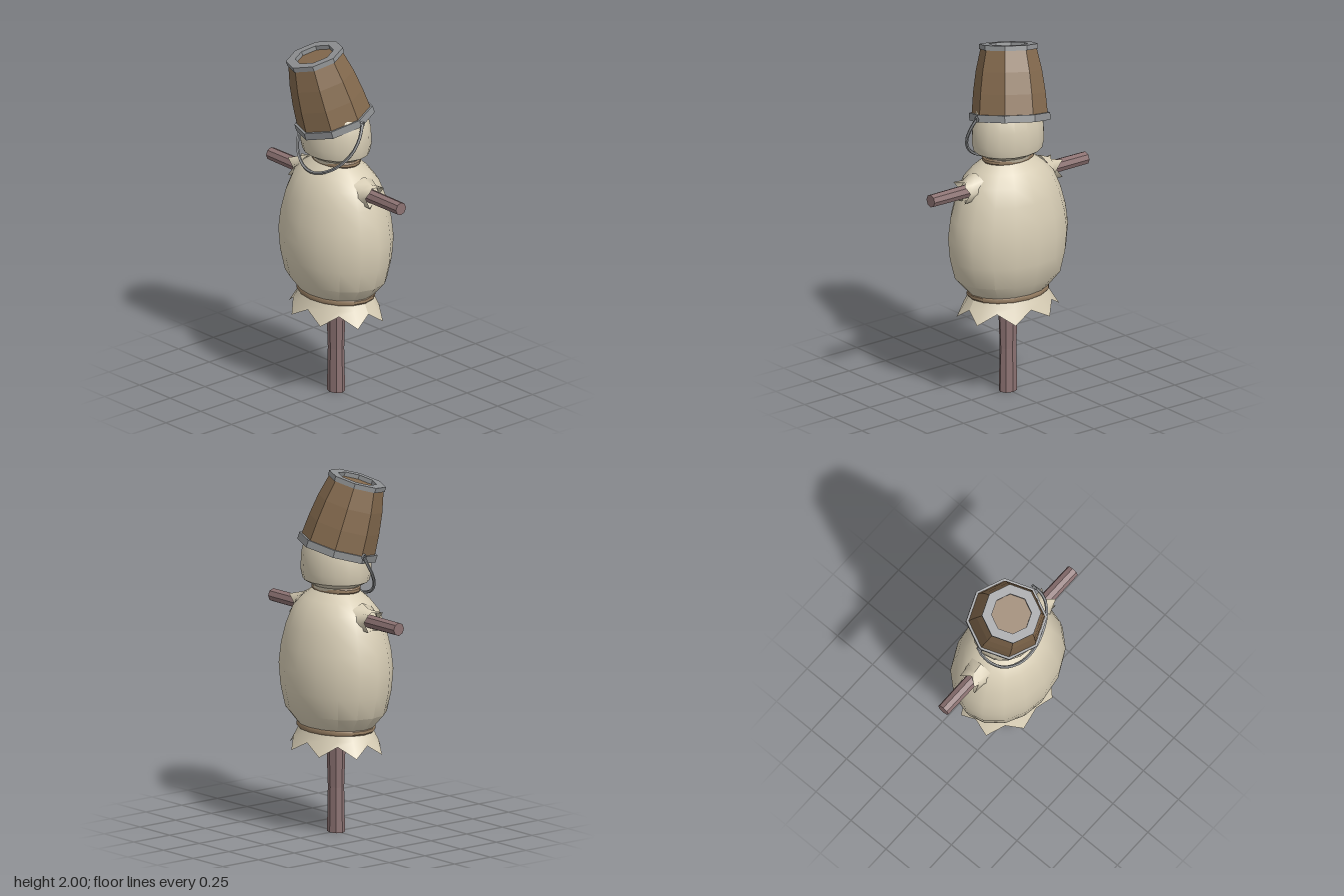
import * as THREE from 'three';
import { toCreasedNormals } from 'three/addons/utils/BufferGeometryUtils.js';

const mat = (color, extra = {}) => new THREE.MeshStandardMaterial({ color, ...extra });
const cloth = mat(0xd6ccb4);
const clothOpen = mat(0xd6ccb4, { side: THREE.DoubleSide });
const rope = mat(0x998064);
const wood = mat(0x8c7272, { flatShading: true });
const stave = mat(0x846a4e, { flatShading: true, side: THREE.DoubleSide });
const metal = mat(0x8f9193, { flatShading: true });

const lathe = (pts, sides) => new THREE.LatheGeometry(pts.map(([r, y]) => new THREE.Vector2(r, y)), sides);

function add(parent, name, geometry, material) {
  const mesh = new THREE.Mesh(geometry, material);
  mesh.name = name;
  parent.add(mesh);
  return mesh;
}

// Closed ring with a rectangular section
const ring = (rIn, rOut, y0, y1, sides) =>
  lathe([[rIn, y0], [rOut, y0], [rOut, y1], [rIn, y1], [rIn, y0]], sides);

// Oval sack volume, profile radii measured along z
const sack = (pts, xScale) => toCreasedNormals(lathe(pts, 16).scale(xScale, 1, 1), 0.6);

// Rope binding with a softly bevelled section
function binding(r, y, h, xScale) {
  const g = lathe([[r - 0.03, y - h], [r - 0.006, y - h], [r, y - h * 0.5], [r, y + h * 0.5],
    [r - 0.006, y + h], [r - 0.03, y + h]], 16);
  return toCreasedNormals(g.scale(xScale, 1, 1), 0.6);
}

// Torn cloth edge: the last row of a lathe is pulled back at every notch
function tornCloth(pts, sides, isNotch, notch) {
  const g = lathe(pts, sides);
  const p = g.attributes.position;
  const rows = pts.length;
  for (let i = 0; i <= sides; i++) {
    if (!isNotch(i)) continue;
    const a = (i / sides) * Math.PI * 2;
    p.setXYZ(i * rows + rows - 1, Math.sin(a) * notch[0], notch[1], Math.cos(a) * notch[0]);
  }
  return g;
}

function createBucket() {
  const bucket = new THREE.Group();
  bucket.name = 'bucket';
  add(bucket, 'staves', lathe([[0.207, 0.01], [0.197, 0.13], [0.18, 0.25], [0.15, 0.38]], 8), stave);
  add(bucket, 'bucketBase', new THREE.CircleGeometry(0.145, 8).rotateX(-Math.PI / 2).translate(0, 0.368, 0), stave);
  add(bucket, 'lowerHoop', ring(0.195, 0.22, -0.02, 0.02, 8), metal);
  add(bucket, 'upperHoop', ring(0.108, 0.16, 0.365, 0.392, 8), metal);
  bucket.position.set(0, 1.575, -0.012);
  bucket.quaternion.setFromUnitVectors(new THREE.Vector3(0, 1, 0),
    new THREE.Vector3(-0.09, 0.375, -0.062).normalize());
  return bucket;
}

export function createModel() {
  const model = new THREE.Group();
  model.name = 'scarecrow';

  // Post
  const post = lathe([[0, 0], [0.054, 0], [0.049, 0.25], [0.058, 0.5], [0.06, 0.62]], 8).scale(0.82, 1, 1);
  add(model, 'post', post, wood);

  // Stuffed body
  add(model, 'body', sack([[0, 0.59], [0.23, 0.59], [0.315, 0.68], [0.345, 0.8], [0.356, 0.92],
    [0.342, 1.03], [0.312, 1.14], [0.268, 1.24], [0.21, 1.3], [0.145, 1.345], [0, 1.345]], 0.765), cloth);

  // Ragged hem below the waist
  const hem = tornCloth([[0.225, 0.59], [0.25, 0.545], [0.305, 0.46]], 16, i => i % 2 === 0, [0.265, 0.52]);
  hem.scale(0.765, 1, 1);
  hem.computeVertexNormals();
  add(model, 'hem', hem, clothOpen);

  // Head and rope bindings
  add(model, 'head', sack([[0.13, 1.34], [0.145, 1.372], [0.198, 1.4], [0.21, 1.45], [0.205, 1.54],
    [0.185, 1.62], [0.12, 1.68], [0, 1.7]], 0.85), cloth);
  add(model, 'waistRope', binding(0.245, 0.59, 0.016, 0.765), rope);
  add(model, 'neckRope', binding(0.157, 1.356, 0.015, 0.73), rope);

  // Arms with torn sleeve openings, front and back
  for (const s of [1, -1]) {
    const side = s > 0 ? 'front' : 'back';
    const arm = new THREE.CylinderGeometry(0.036, 0.04, 0.53, 8).translate(0, 0.265, 0);
    const armMesh = add(model, side + 'Arm', arm, wood);
    armMesh.position.y = 1.213;
    armMesh.rotation.x = s * Math.PI / 2;
    const sleeve = tornCloth([[0.09, 0.22], [0.066, 0.275], [0.07, 0.335]], 8, i => i % 2 === 0, [0.048, 0.295]);
    sleeve.computeVertexNormals();
    const sleeveMesh = add(model, side + 'Sleeve', sleeve, clothOpen);
    sleeveMesh.position.y = 1.213;
    sleeveMesh.rotation.x = s * Math.PI / 2;
  }

  // Tilted bucket hat with its hanging handle
  model.add(createBucket());
  const path = [[0, 1.61, 0.215], [-0.03, 1.55, 0.232], [-0.08, 1.46, 0.222], [-0.13, 1.37, 0.15],
    [-0.162, 1.312, 0.03], [-0.16, 1.312, -0.07], [-0.125, 1.37, -0.17], [-0.07, 1.45, -0.222],
    [-0.02, 1.52, -0.238], [0, 1.56, -0.236]];
  const curve = new THREE.CatmullRomCurve3(path.map(p => new THREE.Vector3(...p)));
  add(model, 'handle', new THREE.TubeGeometry(curve, 24, 0.009, 5), metal);
  for (const [y, z] of [[1.61, 0.215], [1.56, -0.236]]) {
    const eye = add(model, 'handleEye', new THREE.TorusGeometry(0.013, 0.006, 4, 8), metal);
    eye.position.set(0, y, z);
  }
  return model;
}
